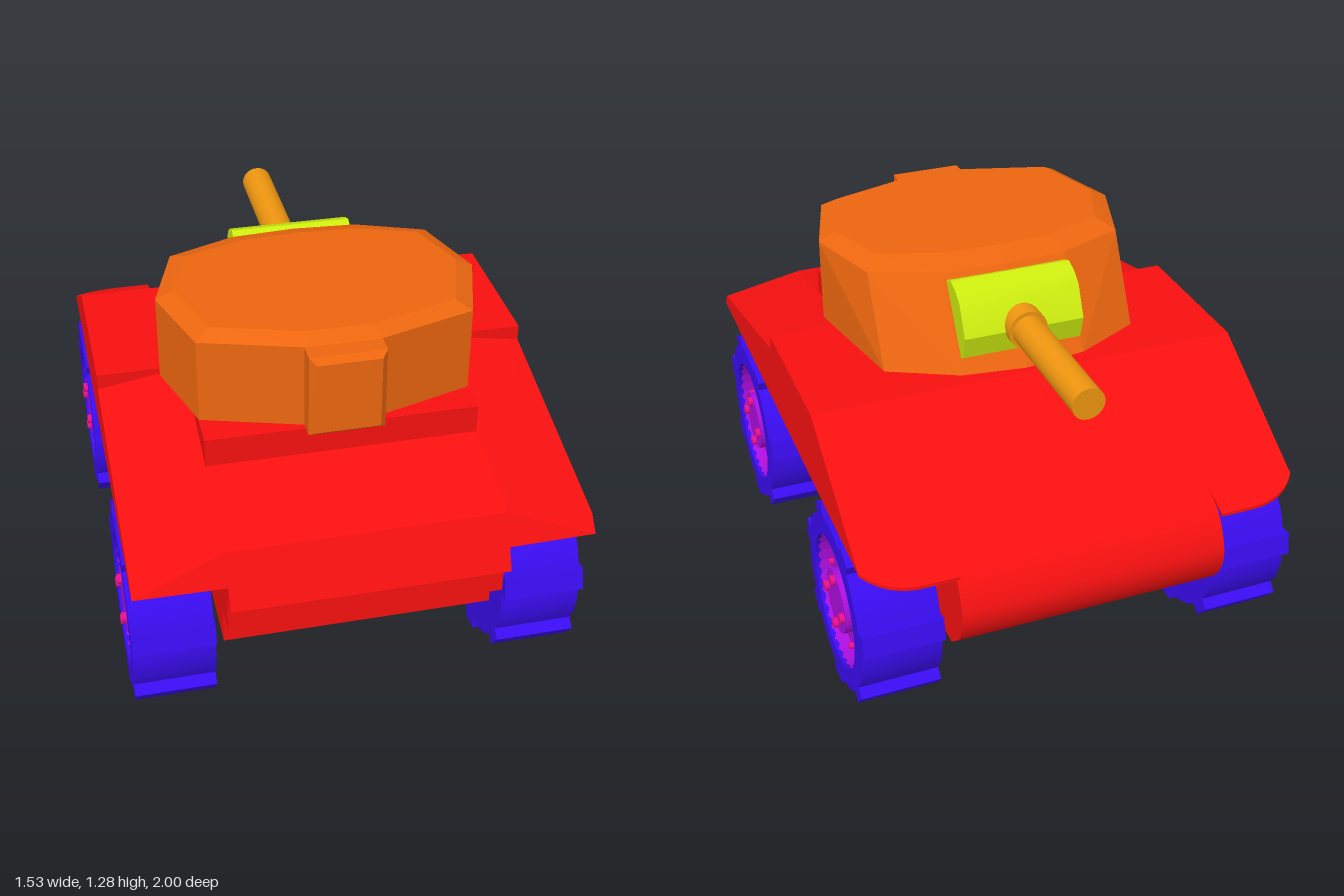
import * as THREE from 'three';
import { toCreasedNormals } from 'three/addons/utils/BufferGeometryUtils.js';
import { ConvexGeometry } from 'three/addons/geometries/ConvexGeometry.js';

const mat = (color, flatShading = false) => new THREE.MeshStandardMaterial({ color, flatShading });
const RED = mat(0xf81010), ORANGE = mat(0xec660f), GOLD = mat(0xee950f), LIME = mat(0xccec0f);
const BLUE = mat(0x3a0cf0), PURPLE = mat(0xac0edd, true), PINK = mat(0xe80f90);
PURPLE.side = THREE.DoubleSide;

const V = (x, y, z) => new THREE.Vector3(x, y, z);

function add(parent, name, geometry, material) {
  const mesh = new THREE.Mesh(geometry, material);
  mesh.name = name;
  parent.add(mesh);
  return mesh;
}

const shapeOf = (pts) => new THREE.Shape(pts.map(([a, b]) => new THREE.Vector2(a, b)));

// Side profile given as [-z, y] pairs, extruded from x0 to x1
function sideExtrude(shape, x0, x1) {
  const g = new THREE.ExtrudeGeometry(shape, { depth: x1 - x0, bevelEnabled: false });
  g.rotateY(Math.PI / 2).translate(x0, 0, 0);
  return toCreasedNormals(g, 0.5);
}

function buildHull() {
  const hull = new THREE.Group();
  hull.name = 'hull';

  // Central body with rounded nose and raised engine deck
  const nose = new THREE.SplineCurve([[0.87, 0.68], [0.95, 0.62], [0.995, 0.53], [0.995, 0.46], [0.96, 0.39], [0.89, 0.325]]
    .map(([a, b]) => new THREE.Vector2(a, b))).getPoints(14).map((p) => [p.x, p.y]);
  const profile = [[-0.935, 0.6], [-1, 0.6], [-0.92, 0.775], [-0.58, 0.852], [-0.58, 0.952], [0.4, 0.955],
    ...nose, [-0.83, 0.325], [-0.83, 0.465], [-0.935, 0.465]];
  add(hull, 'centralBody', sideExtrude(shapeOf(profile), -0.45, 0.455), RED);

  for (const s of [1, -1]) {
    const side = s > 0 ? 'left' : 'right';
    const inner = 0.449, outer = 0.745;
    // Forward sponson
    const front = [[-0.14, 0.67], [-0.14, 0.955], [0.4, 0.955], [0.87, 0.68], [0.87, 0.67]];
    add(hull, side + 'FrontSponson',
      sideExtrude(shapeOf(front), s > 0 ? inner : -outer, s > 0 ? outer : -inner), RED);
    // Sloping rear sponson, lower along its outer edge
    const rear = [
      ...[[0.67, 0.14], [0.95, 0.14], [0.775, 0.92], [0.67, 0.965]].map(([y, z]) => V(s * inner, y, z)),
      ...[[0.67, 0.14], [0.9, 0.14], [0.72, 0.915], [0.67, 0.96]].map(([y, z]) => V(s * outer, y, z)),
    ];
    add(hull, side + 'RearSponson', new ConvexGeometry(rear), RED);
    // Thin fender flap drooping beside the nose, rounded at the outer corner
    const flap = new THREE.Shape();
    flap.moveTo(s * 0.449, 0.86);
    flap.lineTo(s * 0.745, 0.86);
    flap.lineTo(s * 0.745, 0.88);
    flap.quadraticCurveTo(s * 0.68, 0.965, s * 0.56, 0.965);
    flap.lineTo(s * 0.449, 0.965);
    const g = new THREE.ExtrudeGeometry(flap, { depth: 0.012, bevelEnabled: false, curveSegments: 10 });
    g.rotateX(-Math.PI / 2);
    const p = g.attributes.position;
    for (let i = 0; i < p.count; i++) {
      p.setY(i, p.getY(i) + 0.668 - 0.38 * (-p.getZ(i) - 0.87));
    }
    g.computeVertexNormals();
    add(hull, side + 'Fender', g, RED);
  }
  return hull;
}

function buildTurret() {
  const turret = new THREE.Group();
  turret.name = 'turret';

  // Half outline as [x, z at the base, z at the shoulder]
  const half = [[0, -0.385, -0.19], [0.22, -0.355, -0.175], [0.45, -0.24, -0.085],
    [0.537, 0.19, 0.19], [0.45, 0.475, 0.475], [0.12, 0.575, 0.575]];
  const pts = [];
  for (const s of [1, -1]) {
    for (const [x, zBase, zTop] of half) {
      const inset = 0.2 + (zTop - 0.2) * (zTop < 0.2 ? 0.78 : 0.88);
      pts.push(V(s * x, 0.962, zBase), V(s * x, 1.255, zTop), V(s * x * 0.89, 1.285, inset));
    }
  }
  add(turret, 'turretShell', new ConvexGeometry(pts), ORANGE);

  // Chamfered stowage box on the back
  const box = [];
  for (const s of [1, -1]) {
    for (const y of [0.965, 1.255]) {
      box.push(V(s * 0.125, y, 0.55), V(s * 0.125, y, 0.637));
    }
    for (const y of [0.985, 1.237]) box.push(V(s * 0.105, y, 0.66));
  }
  add(turret, 'stowageBox', new ConvexGeometry(box), ORANGE);

  // Gun mantlet, collar and barrel
  const mantlet = [[0.17, 1.225], [0.23, 1.25], [0.275, 1.235], [0.315, 1.205], [0.365, 1.1],
    [0.345, 1.02], [0.31, 1.005]];
  add(turret, 'mantlet', sideExtrude(shapeOf(mantlet), -0.21, 0.21), LIME);
  const tube = (name, r, z0, z1) => add(turret, name,
    new THREE.CylinderGeometry(r, r, z0 - z1, 24).rotateX(Math.PI / 2).translate(0, 1.11, (z0 + z1) / 2), GOLD);
  tube('barrelCollar', 0.068, -0.32, -0.395);
  tube('gunBarrel', 0.055, -0.39, -0.875);
  return turret;
}

function buildWheel(s, z) {
  const wheel = new THREE.Group();
  wheel.name = (s > 0 ? 'left' : 'right') + (z > 0 ? 'Rear' : 'Gun') + 'EndWheel';
  wheel.position.set(s * 0.483, 0.34, z);
  const turn = -s * Math.PI / 2; // lays a y-axis solid so it points outward

  // Tyre with seven lugs
  const lugs = 7, step = (Math.PI * 2) / lugs;
  const start = s > 0 ? 0.19 : Math.PI - 0.19;
  const outline = [];
  for (let i = 0; i < lugs; i++) {
    const a = start + i * step;
    for (const [da, r] of [[-0.14, 0.298], [-0.115, 0.337], [0.115, 0.337], [0.14, 0.298],
      [0.33, 0.302], [0.57, 0.302]]) {
      outline.push([Math.cos(a + da) * r, Math.sin(a + da) * r]);
    }
  }
  const shape = shapeOf(outline);
  shape.holes.push(new THREE.Path().absarc(0, 0, 0.228, 0, Math.PI * 2, true));
  const tyre = new THREE.ExtrudeGeometry(shape, { depth: 0.27, bevelEnabled: false, curveSegments: 32 });
  tyre.rotateY(s * Math.PI / 2);
  add(wheel, 'tyre', toCreasedNormals(tyre, 0.35), BLUE);
  add(wheel, 'innerPlate', new THREE.CylinderGeometry(0.229, 0.229, 0.02, 32)
    .rotateZ(turn).translate(s * 0.01, 0, 0), BLUE);

  // Recessed rim with raised hub
  const rim = [[0.23, 0.27], [0.224, 0.215], [0.11, 0.215], [0.11, 0.265], [0, 0.265]]
    .map(([r, h]) => new THREE.Vector2(r, h));
  add(wheel, 'rim', new THREE.LatheGeometry(rim, 32).rotateZ(turn), PURPLE);

  // Rings of bolts
  for (const [name, n, ring, r, x] of [['rimBolt', 12, 0.207, 0.011, 0.217], ['hubBolt', 4, 0.09, 0.018, 0.267]]) {
    for (let i = 0; i < n; i++) {
      const a = (i / n) * Math.PI * 2;
      add(wheel, name, new THREE.CylinderGeometry(r, r, 0.028, 10).rotateZ(turn)
        .translate(s * x, Math.sin(a) * ring, Math.cos(a) * ring), PINK);
    }
  }
  return wheel;
}

export function createModel() {
  const model = new THREE.Group();
  model.name = 'wheeledTank';
  model.add(buildHull(), buildTurret());
  for (const s of [1, -1]) {
    for (const z of [0.575, -0.585]) model.add(buildWheel(s, z));
  }
  return model;
}
